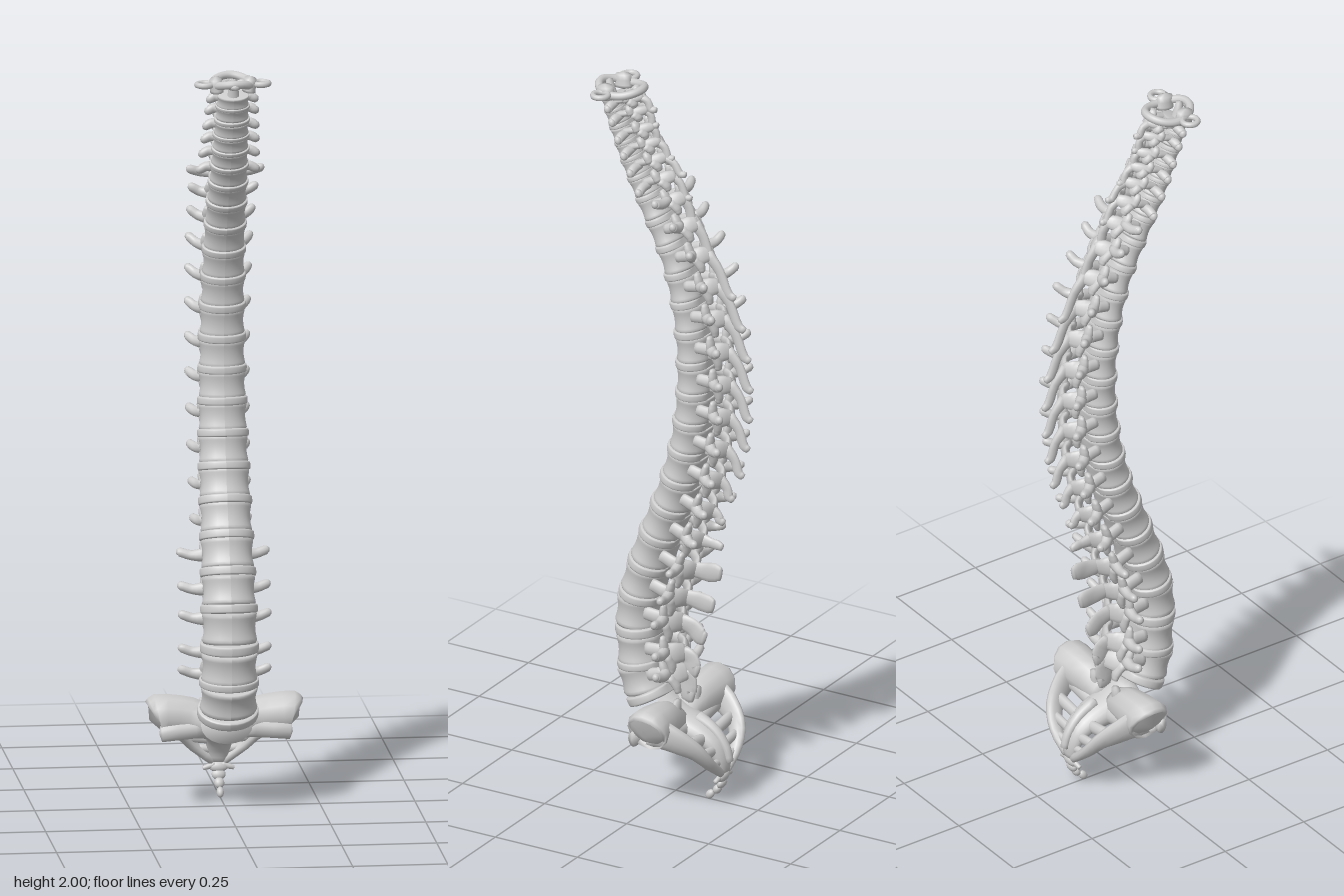
import * as THREE from 'three';

const bone = new THREE.MeshStandardMaterial({ color: 0xcccccc });
const X = new THREE.Vector3(1, 0, 0), Z = new THREE.Vector3(0, 0, 1);

function add(parent, name, geometry) {
  const mesh = new THREE.Mesh(geometry, bone);
  mesh.name = name;
  parent.add(mesh);
  return mesh;
}

// Smooth tapering limb through stations [x, y, z, halfWidth, halfHeight]; width lies along ref
function limb(stations, ref = X, sides = 12) {
  const curve = new THREE.CatmullRomCurve3(stations.map(s => new THREE.Vector3(s[0], s[1], s[2])));
  const rings = (stations.length - 1) * 3, pos = [], idx = [];
  for (let i = 0; i <= rings; i++) {
    const t = i / rings, k = Math.min(Math.floor(i / 3), stations.length - 2), f = i / 3 - k;
    const p = curve.getPoint(t), T = curve.getTangent(t);
    const s = ref.clone().addScaledVector(T, -ref.dot(T)).normalize();
    const n = T.clone().cross(s);
    const w = THREE.MathUtils.lerp(stations[k][3], stations[k + 1][3], f);
    const h = THREE.MathUtils.lerp(stations[k][4], stations[k + 1][4], f);
    for (let j = 0; j < sides; j++) {
      const a = j / sides * Math.PI * 2;
      const v = p.clone().addScaledVector(s, Math.cos(a) * w).addScaledVector(n, Math.sin(a) * h);
      pos.push(v.x, v.y, v.z);
    }
  }
  for (let i = 0; i < rings; i++) for (let j = 0; j < sides; j++) {
    const a = i * sides + j, b = i * sides + (j + 1) % sides;
    idx.push(a, b, a + sides, b, b + sides, a + sides);
  }
  // rounded end caps
  for (const end of [0, 1]) {
    const st = stations[end * (stations.length - 1)];
    const p = curve.getPoint(end).addScaledVector(curve.getTangent(end), (end ? 0.4 : -0.4) * Math.min(st[3], st[4]));
    const c = pos.length / 3, base = end * rings * sides;
    pos.push(p.x, p.y, p.z);
    for (let j = 0; j < sides; j++) {
      const a = base + j, b = base + (j + 1) % sides;
      idx.push(c, end ? a : b, end ? b : a);
    }
  }
  const g = new THREE.BufferGeometry();
  g.setAttribute('position', new THREE.Float32BufferAttribute(pos, 3));
  g.setIndex(idx);
  g.computeVertexNormals();
  return g;
}

// The same limb on both sides
function pair(parent, name, stations, ref) {
  for (const s of [1, -1])
    add(parent, (s > 0 ? 'left' : 'right') + name, limb(stations.map(([x, ...r]) => [x * s, ...r]), ref));
}

// Round block, flatter at the back; its side bulges out or draws in towards the middle
function block(w, h, d, bulge) {
  const pts = [new THREE.Vector2(0, -1)];
  for (let k = 0; k <= 12; k++) {
    const v = k / 6 - 1;
    pts.push(new THREE.Vector2(0.98 + bulge * (1 - v * v) - 0.08 * v ** 12, v));
  }
  pts.push(new THREE.Vector2(0, 1));
  const g = new THREE.LatheGeometry(pts, 28), p = g.attributes.position;
  for (let i = 0; i < p.count; i++) p.setZ(i, Math.max(p.getZ(i), -0.88));
  g.scale(w, h, d);
  g.computeVertexNormals();
  return g;
}

// Side curves as (z, y): the line of the bodies and the line of the rear tips, one key per two vertebrae
const spline = keys => new THREE.SplineCurve(keys.map(k => new THREE.Vector2(...k)));
const bodyLine = spline([[0.185, 1.935], [0.153, 1.855], [0.115, 1.77], [0.06, 1.665], [-0.007, 1.53], [-0.048, 1.375],
  [-0.063, 1.205], [-0.05, 1.035], [-0.008, 0.865], [0.057, 0.69], [0.107, 0.505], [0.092, 0.315]]);
const tipLine = spline([[0.06, 1.935], [0.04, 1.84], [-0.03, 1.77], [-0.07, 1.63], [-0.18, 1.45], [-0.225, 1.28],
  [-0.23, 1.11], [-0.205, 0.945], [-0.147, 0.8], [-0.138, 0.65], [-0.09, 0.455], [-0.055, 0.285]]);
const last = 22;

// Body centre, half width and half depth; past both ends stand the ring vertebra and the sacrum
function body(i) {
  const p = bodyLine.getPoint(THREE.MathUtils.clamp(i / last, 0, 1));
  if (i < 0) p.set(0.2, 1.975);
  if (i > last) p.set(0.045, 0.225);
  return { y: p.y, z: p.x, w: 0.045 + 0.0016 * i, d: 0.03 + 0.00175 * i };
}

function vertebra(i) {
  const { y, z, w, d } = body(i), up = body(i - 1), dn = body(i + 1), tip = tipLine.getPoint(i / last);
  const cer = i < 6, lum = i > 17;
  const tilt = Math.atan2(up.z - dn.z, up.y - dn.y), c = Math.cos(tilt), s = Math.sin(tilt);
  const g = new THREE.Group();
  g.name = (cer ? 'cervical' : lum ? 'lumbar' : 'thoracic') + 'Vertebra' + (i + 1);
  g.position.set(0, y, z);
  g.rotation.x = tilt;
  const h = Math.hypot(up.y - dn.y, up.z - dn.z) * 0.205;
  const ty = (tip.y - y) * c + (tip.x - z) * s, tz = (tip.x - z) * c - (tip.y - y) * s;
  const back = -d * 0.88, px = w * 0.62, arch = back - (lum ? 0.04 : 0.03);
  add(g, 'vertebralBody', block(w, h, d, -0.1));
  pair(g, 'Pedicle', [[px, h * 0.3, back + 0.015, 0.012, h * 0.45], [px, h * 0.25, arch, 0.012, h * 0.5]]);
  pair(g, 'Lamina', [[px, h * 0.2, arch + 0.006, 0.012, h * 0.6], [px * 0.6, 0, arch - 0.018, 0.009, h * 0.75],
    [0, -h * 0.15, arch - 0.032, 0.009, h * 0.6]], Z);
  // upper and lower joint facets
  for (const [name, v, dz] of [['SuperiorFacet', 1, 0], ['InferiorFacet', -1, 0.013]]) {
    const x = px * (0.92 + 0.13 * v);
    pair(g, name, [[px, 0, arch - dz / 2, 0.014, 0.011], [x, v * h * 0.8, arch - dz, 0.015, 0.011],
      [x, v * h * 1.35, arch - dz, 0.01, 0.007]]);
  }
  // rear spur: deep blade in the lumbar part, slender further up
  const sh = lum ? 0.027 : cer ? 0.011 : 0.014, root = arch - 0.025;
  add(g, 'spinousSpur', limb([[0, -h * 0.1, root, 0.013, h * 0.55], [0, ty * 0.4, (root + tz) / 2, 0.008, sh],
    [0, ty * 0.9, tz + 0.015, 0.009, sh], [0, ty, tz, 0.007, sh * 0.7]]));
  // side spurs: short and forward, swept back, or straight out
  const span = cer ? 0.066 + 0.003 * i : lum ? 0.12 : Math.max(0.1 - 0.01 * (i - 6), 0.096 - 0.001 * i);
  const start = cer ? back + 0.01 : arch;
  const end = cer ? start : lum ? arch - 0.015 : back - 0.075 * Math.min(1, (i - 3) / 6);
  const r = 0.012, ry = cer ? 0 : h * 0.25, oy = cer ? -h * 0.3 : ry + 0.01;
  pair(g, 'TransverseSpur', [[px, ry, start, r * 1.3, h * 0.5], [(px + span) / 2, ry, (start + end) / 2, r, r * 1.1],
    [span - 0.006, oy, end + 0.004, r * 0.9, r], [span, oy, end, r * 0.5, r * 0.6]], Z);
  return g;
}

// Cushion between a body and the next one down
function disc(i) {
  const a = body(i), b = body(i + 1), dy = a.y - b.y, dz = a.z - b.z;
  const m = new THREE.Mesh(block((a.w + b.w) / 2, Math.hypot(dy, dz) * 0.13, (a.d + b.d) / 2, 0.02), bone);
  m.name = 'disc' + (i + 1);
  m.position.set(0, (a.y + b.y) / 2, (a.z + b.z) / 2);
  m.rotation.x = Math.atan2(dz, dy);
  return m;
}

// Topmost ring vertebra with side loops, and the peg it turns on
function atlas() {
  const g = new THREE.Group();
  g.name = 'atlas';
  const ring = [];
  for (let k = 0; k < 16; k++) {
    const a = k / 16 * Math.PI * 2;
    ring.push(new THREE.Vector3(Math.sin(a) * 0.052, 1.978 + 0.006 * Math.cos(2 * a), 0.165 + Math.cos(a) * 0.062));
  }
  add(g, 'ringArch', new THREE.TubeGeometry(new THREE.CatmullRomCurve3(ring, true), 48, 0.011, 10, true));
  pair(g, 'LateralMass', [[0.042, 1.958, 0.185, 0.018, 0.026], [0.046, 1.992, 0.188, 0.016, 0.022]]);
  for (const s of [1, -1]) {
    const loop = add(g, s > 0 ? 'leftTransverseLoop' : 'rightTransverseLoop', new THREE.TorusGeometry(0.02, 0.008, 8, 20));
    loop.rotation.x = Math.PI / 2;
    loop.position.set(s * 0.074, 1.977, 0.185);
  }
  add(g, 'frontTubercle', limb([[0, 1.978, 0.222, 0.02, 0.012], [0, 1.976, 0.237, 0.009, 0.007]]));
  add(g, 'dens', limb([[0, 1.93, 0.19, 0.02, 0.018], [0, 1.99, 0.203, 0.01, 0.009]]));
  return g;
}

// Sacrum: central column, wings, side borders and cross bars that leave the openings; then the tailbone
function sacrum() {
  const g = new THREE.Group();
  g.name = 'sacrum';
  const line = spline([[0.045, 0.228], [-0.02, 0.205], [-0.075, 0.19], [-0.12, 0.165], [-0.142, 0.125], [-0.147, 0.09]]);
  const along = (ts, station) => ts.map(t => station(t, line.getPoint(t)));
  const edge = t => 0.16 - 0.145 * t * t;
  add(g, 'sacralBody', limb(along([0, 0.2, 0.4, 0.6, 0.8, 1], (t, p) => [0, p.y, p.x, 0.068 - 0.046 * t, 0.05 - 0.038 * t]), X, 20));
  pair(g, 'Border', along([0.2, 0.4, 0.6, 0.8, 1],
    (t, p) => [edge(t), p.y + 0.04 * (1 - t), p.x, 0.022 - 0.01 * t, 0.01 + 0.048 * (1 - t)]));
  for (const t of [0.3, 0.5, 0.67, 0.82]) {
    const p = line.getPoint(t), r = 0.021 - 0.015 * t;
    pair(g, 'CrossBar', [[0.01, p.y, p.x, r, r * 1.3], [edge(t), p.y + 0.03 * (1 - t), p.x, r, r * 1.3]], Z);
  }
  add(g, 'medianCrest', limb(along([0.3, 0.5, 0.7, 0.85],
    (t, p) => [0, p.y + 0.045 * (1 - t), p.x - 0.02, 0.02 - 0.01 * t, 0.02 - 0.012 * t])));
  pair(g, 'Wing', [[0.03, 0.22, 0, 0.05, 0.04], [0.09, 0.236, -0.015, 0.05, 0.056],
    [0.174, 0.243, -0.018, 0.06, 0.06], [0.18, 0.24, -0.018, 0.046, 0.046]], Z);
  pair(g, 'WingFrontLip', [[0.06, 0.215, 0.02, 0.02, 0.025], [0.17, 0.205, 0.03, 0.014, 0.022]], Z);
  pair(g, 'UpperFacet', [[0.05, 0.24, -0.03, 0.018, 0.015], [0.05, 0.285, -0.035, 0.013, 0.01]]);
  for (let k = 0; k < 4; k++) {
    const seg = add(g, 'tailbone' + (k + 1), new THREE.SphereGeometry(1, 16, 10));
    seg.scale.set(0.026 * 0.72 ** k, 0.015, 0.011);
    seg.position.set(0, 0.075 - 0.02 * k, -0.145 + 0.0045 * k * k);
    seg.rotation.x = -0.3 - k * 0.12;
  }
  pair(g, 'TailboneHorn', [[0.01, 0.08, -0.145, 0.008, 0.01], [0.04, 0.072, -0.143, 0.006, 0.006]], Z);
  return g;
}

export function createModel() {
  const model = new THREE.Group();
  model.name = 'spine';
  for (let i = 0; i <= last; i++) model.add(vertebra(i), disc(i));
  model.add(atlas(), sacrum());
  return model;
}
